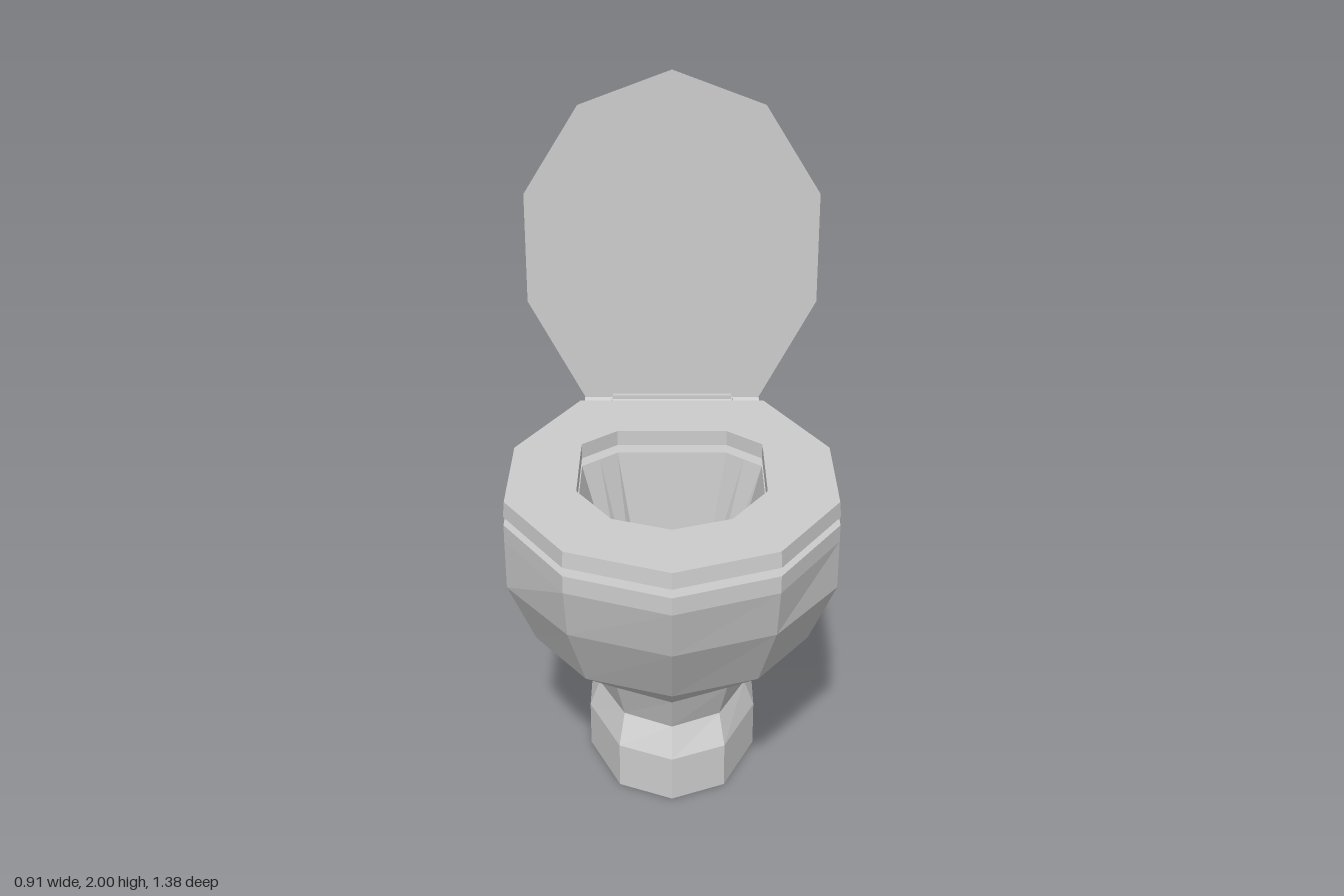
import * as THREE from 'three';

const ceramic = new THREE.MeshStandardMaterial({ color: 0xcccccc, flatShading: true });
ceramic.name = 'light grey ceramic';

// Mirrors a half outline of [x, z, own y] points (front tip first) into a full ring.
function ring(y, half) {
  const right = half.map(([x, z, py = y]) => new THREE.Vector3(x, py, z));
  const left = right.slice(1).reverse().map((p) => new THREE.Vector3(-p.x, p.y, p.z));
  return [...right, ...left];
}

// Skins consecutive rings; optional flat caps close the first and last ring.
function loft(rings, capped) {
  const pos = [];
  const tri = (...pts) => pts.forEach((p) => pos.push(p.x, p.y, p.z));
  const n = rings[0].length;
  for (let r = 0; r < rings.length - 1; r++) {
    const a = rings[r], b = rings[r + 1];
    for (let i = 0; i < n; i++) {
      const j = (i + 1) % n;
      tri(a[i], a[j], b[j]);
      tri(a[i], b[j], b[i]);
    }
  }
  if (capped) {
    const first = rings[0], last = rings[rings.length - 1];
    for (let i = 1; i < n - 1; i++) {
      tri(first[0], first[i + 1], first[i]);
      tri(last[0], last[i], last[i + 1]);
    }
  }
  const geo = new THREE.BufferGeometry();
  geo.setAttribute('position', new THREE.Float32BufferAttribute(pos, 3));
  geo.computeVertexNormals();
  return geo;
}

// Adds a bend point halfway along the rear side of a five-point half outline.
function withBend(half) {
  const [p, q] = half.slice(3);
  const y = q[2];
  return [...half.slice(0, 4), [(p[0] + q[0]) / 2, (p[1] + q[1]) / 2, y], q];
}

const inset = (half, k, cz) => half.map(([x, z]) => [x * k, cz + (z - cz) * k]);

export function createModel() {
  const group = new THREE.Group();
  const add = (name, geo, x = 0, y = 0, z = 0) => {
    const mesh = new THREE.Mesh(geo, ceramic);
    mesh.name = name;
    mesh.position.set(x, y, z);
    group.add(mesh);
    return mesh;
  };

  // Bowl: pedestal, flaring body with rear shelf, rim and hollow inside
  const foot = withBend([[0, 0.285], [0.155, 0.215], [0.25, 0], [0.25, -0.21], [0.155, -0.39]]);
  const neck = withBend([[0, 0.24], [0.14, 0.17], [0.22, 0], [0.22, -0.21], [0.155, -0.385]]);
  const waist = withBend([[0, 0.285], [0.16, 0.21], [0.26, 0.03], [0.26, -0.2], [0.16, -0.375]]);
  const belly = withBend([[0, 0.535], [0.235, 0.45], [0.385, 0.24], [0.385, -0.14], [0.16, -0.41, 0.5]]);
  const shoulder = [[0, 0.65], [0.275, 0.545], [0.455, 0.3], [0.455, -0.1], [0.28, -0.41], [0.16, -0.69]];
  const rim = [[0, 0.695], [0.28, 0.585], [0.455, 0.31], [0.455, -0.03], [0.283, -0.37], [0.16, -0.69]];
  const hole = [[0, 0.465], [0.16, 0.405], [0.26, 0.245], [0.26, -0.05], [0.16, -0.14]];
  const basin = [[0, 0.2], [0.085, 0.165], [0.135, 0.09], [0.135, -0.02], [0.085, -0.11]];
  add('bowl', loft([
    ring(0, foot), ring(0.14, foot), ring(0.225, neck), ring(0.34, waist),
    ring(0.53, belly), ring(0.73, shoulder), ring(0.88, rim), ring(0.93, rim),
    ring(0.93, withBend(hole)), ring(0.45, withBend(basin)),
  ], true));

  // Seat ring
  const seat = [...rim.slice(0, 4), [0.28, -0.365]];
  const seatTop = inset(seat, 0.992, 0.165);
  add('seat', loft([
    ring(0.955, seat), ring(1, seatTop), ring(1, hole), ring(0.955, hole), ring(0.955, seat),
  ], false));

  // Raised lid, lofted lying down and then stood upright
  const lid = [[0, 2], [0.268, 1.9], [0.43, 1.64], [0.43, 1.31], [0.265, 1]];
  const lidGeo = loft([ring(0.39, lid), ring(0.437, inset(lid, 0.975, 1.5))], true);
  add('lid', lidGeo.rotateX(-Math.PI / 2));

  // Hinge: middle barrel and tab on the lid, knuckles and mounts at both sides
  const barrel = (length) => new THREE.CylinderGeometry(0.024, 0.024, length, 8).rotateZ(Math.PI / 2);
  add('hingeBarrel', barrel(0.36), 0, 0.978, -0.383);
  add('hingeTab', new THREE.BoxGeometry(0.36, 0.04, 0.03), 0, 0.99, -0.39);
  for (const side of [-1, 1]) {
    add('hingeKnuckle', barrel(0.08), side * 0.225, 0.978, -0.383);
    add('hingeMount', new THREE.BoxGeometry(0.185, 0.03, 0.04), side * 0.168, 0.942, -0.365);
  }

  // Waste outlet: collar with a chamfered end, and the pipe
  const outlet = (rBack, rFront, z0, z1) =>
    new THREE.CylinderGeometry(rFront, rBack, z0 - z1, 8).rotateX(Math.PI / 2).translate(0, 0.337, (z0 + z1) / 2);
  add('outletCollar', outlet(0.145, 0.145, -0.34, -0.45));
  add('outletCollarChamfer', outlet(0.125, 0.145, -0.45, -0.475));
  add('outletPipe', outlet(0.12, 0.12, -0.4, -0.69));

  return group;
}
